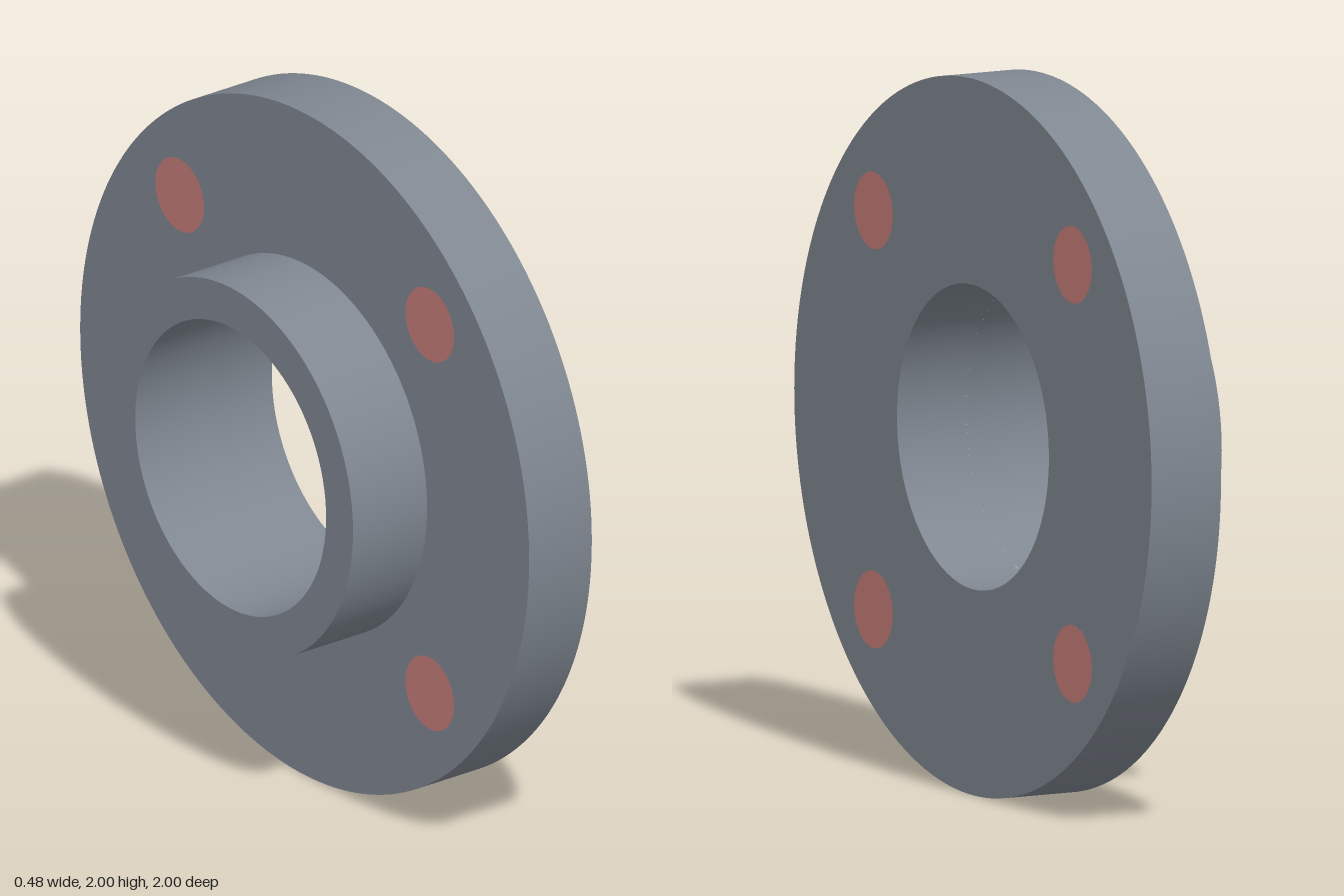
import * as THREE from 'three';
import { toCreasedNormals } from 'three/addons/utils/BufferGeometryUtils.js';

const SEG = 96;
const BACK = -0.24, STEP = 0.02, FRONT = 0.24; // positions along x
const RIM = 1, HUB = 0.545, BORE = 0.425;
const BOLT = 0.108, BOLT_POS = 0.557;

export function createModel() {
  const steel = new THREE.MeshStandardMaterial({ name: 'steel grey', color: 0x7f8791 });
  const red = new THREE.MeshStandardMaterial({ name: 'dusty red', color: 0xc67c79 });
  const group = new THREE.Group();
  group.name = 'pipeFlange';

  const add = (name, geometry, material) => {
    const mesh = new THREE.Mesh(geometry, material);
    mesh.name = name;
    mesh.position.y = 1;
    group.add(mesh);
    return mesh;
  };

  const corners = [[1, 1], [-1, 1], [-1, -1], [1, -1]].map(([a, b]) => [a * BOLT_POS, b * BOLT_POS]);
  const circle = (path, x, y, r) => path.absarc(x, y, r, 0, Math.PI * 2, false);

  // Flange disc with central bore and four bolt holes
  const disc = circle(new THREE.Shape(), 0, 0, RIM);
  disc.holes.push(circle(new THREE.Path(), 0, 0, BORE));
  for (const [x, y] of corners) disc.holes.push(circle(new THREE.Path(), x, y, BOLT));
  const flange = new THREE.ExtrudeGeometry(disc, { depth: FRONT - STEP, bevelEnabled: false, curveSegments: SEG });
  flange.rotateY(Math.PI / 2).translate(STEP, 0, 0);
  add('flange', toCreasedNormals(flange, 0.5), steel);

  // Hub collar, open where it meets the flange
  const profile = [[BORE, STEP], [BORE, BACK], [HUB, BACK], [HUB, STEP]].map(p => new THREE.Vector2(...p));
  const hub = new THREE.LatheGeometry(profile, SEG).rotateZ(-Math.PI / 2);
  add('hub', toCreasedNormals(hub, 0.5), steel);

  // Flush plugs filling the bolt holes
  const plug = new THREE.CylinderGeometry(BOLT, BOLT, FRONT - STEP, SEG).rotateZ(-Math.PI / 2);
  corners.forEach(([z, y], i) => {
    add('boltPlug' + (i + 1), plug, red).position.set((STEP + FRONT) / 2, 1 + y, z);
  });

  return group;
}
